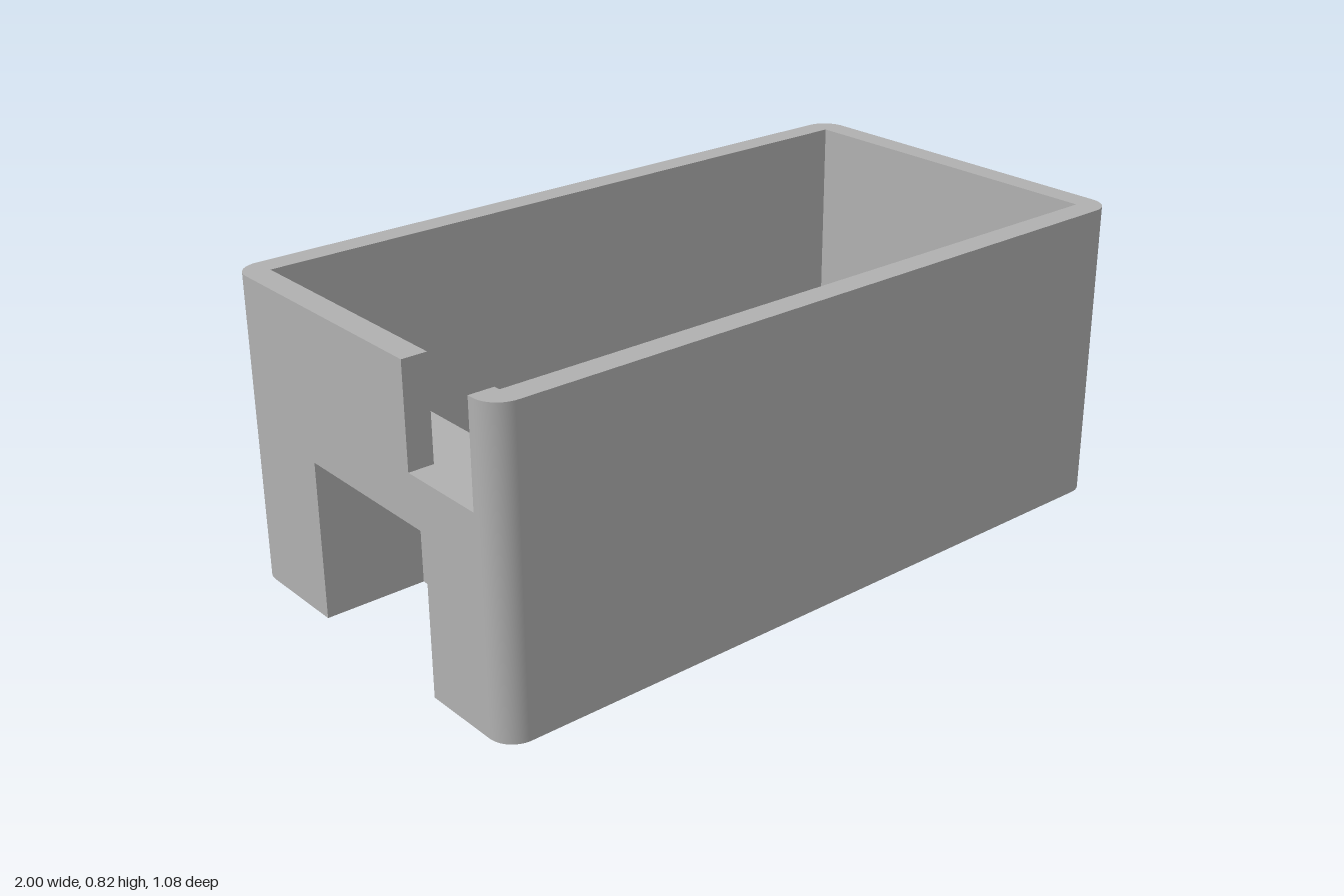
import * as THREE from 'three';
import { toCreasedNormals } from 'three/addons/utils/BufferGeometryUtils.js';

const H = 0.825;            // overall height
const T = 0.067;            // wall and floor thickness, also corner radius
const IX = 1 - T;           // inner half length
const IZ = 0.54 - T;        // inner half width
const PORT = { z0: -0.215, z1: 0.255, x: -0.72, top: 0.425 };
const PLATFORM_X = 0.57, POST_TOP = 0.2;

function polygon(points) {
  return new THREE.Shape(points.map(([x, y]) => new THREE.Vector2(x, y)));
}

function rect(x0, y0, x1, y1) {
  return polygon([[x0, y0], [x1, y0], [x1, y1], [x0, y1]]);
}

function circle(x, y, r) {
  const c = new THREE.Shape();
  c.absarc(x, y, r, 0, Math.PI * 2, false);
  return c;
}

function withHoles(shape, ...holes) {
  shape.holes.push(...holes);
  return shape;
}

function extrude(shape, depth) {
  return new THREE.ExtrudeGeometry(shape, { depth, bevelEnabled: false, curveSegments: 32 });
}

// Upright prism: shape is drawn in x and z
function prism(shape, y0, y1) {
  const g = extrude(shape, y1 - y0).rotateX(Math.PI / 2).translate(0, y1, 0);
  return toCreasedNormals(g, 0.5);
}

// Slab across x: shape is drawn in z and y
function slabX(shape, x0, x1) {
  return extrude(shape, x1 - x0).rotateY(-Math.PI / 2).translate(x1, 0, 0);
}

function box(x0, x1, y0, y1, z0, z1) {
  return new THREE.BoxGeometry(x1 - x0, y1 - y0, z1 - z0)
    .translate((x0 + x1) / 2, (y0 + y1) / 2, (z0 + z1) / 2);
}

export function createModel() {
  const model = new THREE.Group();
  model.name = 'enclosure';
  const grey = new THREE.MeshStandardMaterial({ color: 0xb0b0b0 });
  grey.name = 'grey plastic';

  const add = (name, geometry) => {
    const mesh = new THREE.Mesh(geometry, grey);
    mesh.name = name;
    model.add(mesh);
  };
  const screwHoles = () => [-0.32, 0.32].map((z) => circle(0.72, z, 0.063));

  // Floor with the port opening and two screw holes
  const floor = polygon([
    [-IX, -IZ], [IX, -IZ], [IX, IZ], [-IX, IZ],
    [-IX, PORT.z1], [PORT.x, PORT.z1], [PORT.x, PORT.z0], [-IX, PORT.z0],
  ]);
  add('floor', prism(withHoles(floor, ...screwHoles()), 0, T));

  // Plain walls
  add('frontWall', box(-IX, IX, 0, H, IZ, IZ + T));
  add('leftWall', box(IX, 1, 0, H, -IZ, IZ));

  // Back wall with a round cable hole
  const back = withHoles(rect(-IX, 0, IX, H), circle(-0.805, 0.41, 0.087));
  add('backWall', toCreasedNormals(extrude(back, T).translate(0, 0, -IZ - T), 0.5));

  // End wall with port opening below, rim notch above and a slot on its inner face
  const endWall = () => polygon([
    [-IZ, 0], [PORT.z0, 0], [PORT.z0, PORT.top], [PORT.z1, PORT.top], [PORT.z1, 0],
    [IZ, 0], [IZ, H], [0.455, H], [0.455, 0.555], [0.205, 0.555], [0.205, H], [-IZ, H],
  ]);
  add('endWallOuter', slabX(endWall(), -1, -IX - 0.04));
  add('endWallInner', slabX(withHoles(endWall(), rect(-0.27, 0.695, 0.15, 0.762)), -IX - 0.04, -IX));

  // Rounded vertical corners
  [[1, 1], [1, -1], [-1, -1], [-1, 1]].forEach(([sx, sz], i) => {
    const g = new THREE.CylinderGeometry(T, T, H, 16, 1, false, i * Math.PI / 2, Math.PI / 2);
    add('corner', g.translate(sx * IX, H / 2, sz * IZ));
  });

  // Housing around the port
  const [hx, hz0, hz1] = [-0.69, -0.25, 0.29];
  const sides = polygon([
    [-IX, hz0], [hx, hz0], [hx, hz1], [-IX, hz1],
    [-IX, PORT.z1], [PORT.x, PORT.z1], [PORT.x, PORT.z0], [-IX, PORT.z0],
  ]);
  add('portHousingSides', prism(sides, T, PORT.top));
  add('portHousingRoof', box(-IX, hx, PORT.top, 0.48, hz0, hz1));

  // Raised platform for the mounting screws
  add('screwPlatform', prism(withHoles(rect(PLATFORM_X, -IZ, IX, IZ), ...screwHoles()), T, POST_TOP));

  // Circuit board supports
  for (const [x, z] of [[0.455, -0.37], [-0.58, 0.34]]) {
    add('boardPost', prism(withHoles(circle(x, z, 0.09), circle(x, z, 0.03)), T, POST_TOP));
  }
  add('squarePost', box(0.457, 0.565, T, POST_TOP, 0.35, 0.46));

  return model;
}
